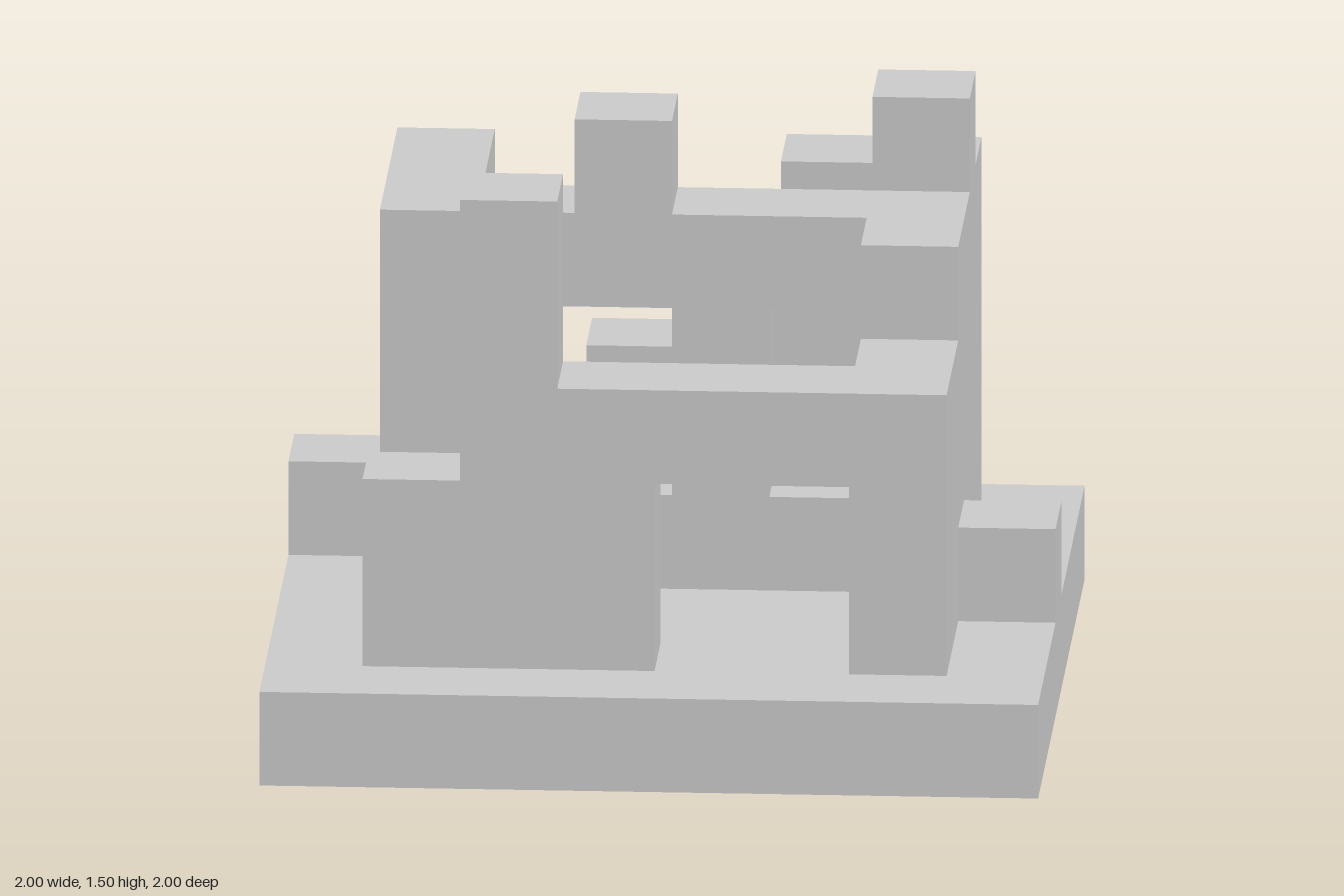
import * as THREE from 'three';

const U = 0.25; // grid cell; all coordinates below are in cells

export function createModel() {
  const model = new THREE.Group();
  const material = new THREE.MeshStandardMaterial({ color: 0xcccccc, flatShading: true });

  const add = (name, geometry) => {
    const mesh = new THREE.Mesh(geometry, material);
    mesh.name = name;
    model.add(mesh);
    return mesh;
  };

  // Box given by its minimum corner and size
  const block = (name, x, y, z, w = 1, h = 1, d = 1) =>
    add(name, new THREE.BoxGeometry(w * U, h * U, d * U))
      .position.set((x + w / 2) * U, (y + h / 2) * U, (z + d / 2) * U);

  // One-cell-thick slab with a stepped outline
  const slab = (points) => new THREE.ExtrudeGeometry(
    new THREE.Shape(points.map(([a, b]) => new THREE.Vector2(a * U, b * U))),
    { depth: U, bevelEnabled: false });

  // Wall running along x, outline in (x, y)
  const wallX = (name, z, points) => add(name, slab(points).translate(0, 0, z * U));

  // Wall running along z, outline in (z, y)
  const wallZ = (name, x, points) =>
    add(name, slab(points).rotateY(-Math.PI / 2).translate((x + 1) * U, 0, 0));

  block('base', -4, 0, -4, 8, 1, 8);

  // Front wall with doorway and broken tower
  wallX('frontWall', 2, [[-3, 1], [0, 1], [0, 3], [2, 3], [2, 1], [3, 1], [3, 4],
    [-1, 4], [-1, 6], [-2, 6], [-2, 3], [-3, 3]]);

  // Back wall, crumbled into steps
  wallX('backWall', -3, [[-3, 1], [3, 1], [3, 5], [1, 5], [1, 4], [0, 4], [0, 3],
    [-1, 3], [-1, 2], [-2, 2], [-2, 5], [-3, 5]]);

  // Inner wall with two window openings that end at the side walls
  wallX('innerWall', -1, [[-2, 1], [2, 1], [2, 2], [1, 2], [1, 4], [2, 4], [2, 5],
    [0, 5], [0, 6], [-1, 6], [-1, 5], [-2, 5], [-2, 4], [0, 4], [0, 2], [-2, 2]]);

  // Side walls between front and back
  wallZ('rightWall', -3, [[-2, 1], [2, 1], [2, 2], [0, 2], [0, 5], [-2, 5]]);
  wallZ('leftWall', 2, [[-2, 1], [2, 1], [2, 4], [1, 4], [1, 5], [-1, 5], [-1, 6], [-2, 6]]);

  // Fallen blocks
  for (const [x, z] of [[-4, -2], [3, 0], [-2, 1], [1, -2]]) block('fallenBlock', x, 1, z);

  return model;
}
